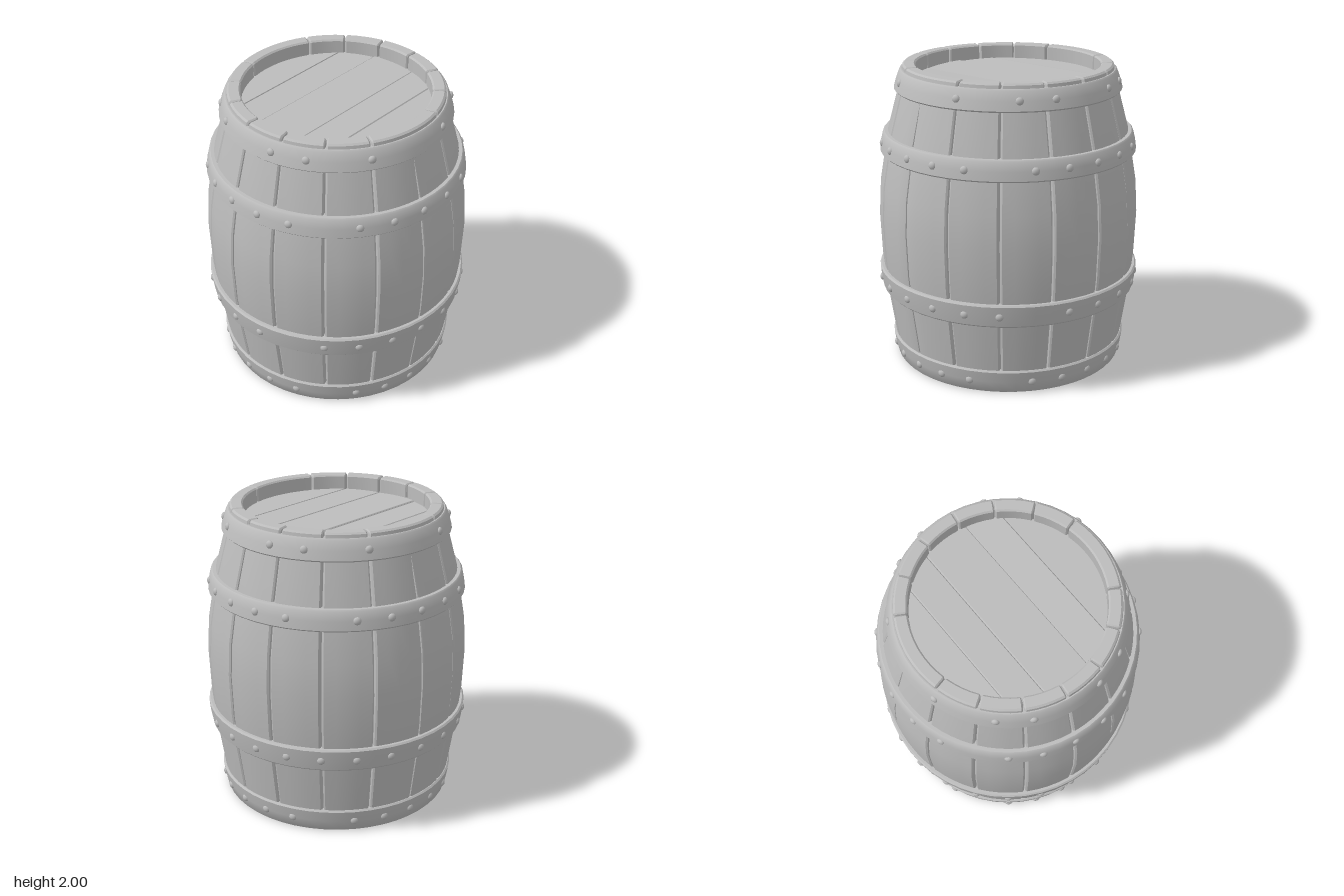
import * as THREE from 'three';
import { toCreasedNormals } from 'three/addons/utils/BufferGeometryUtils.js';
import { ParametricGeometry } from 'three/addons/geometries/ParametricGeometry.js';

const STAVES = 16;
const STEP = (Math.PI * 2) / STAVES;

// Stave section: radius, height, then the inward direction used to sink the seams
const PROFILE = [
  [0.755, 0, -1, 0], [0.778, 0.16, -1, 0], [0.826, 0.48, -1, 0], [0.852, 0.72, -1, 0],
  [0.863, 1.0, -1, 0], [0.85, 1.22, -1, 0], [0.814, 1.43, -1, 0], [0.79, 1.57, -1, 0],
  [0.718, 1.84, -1, 0], [0.692, 1.96, -1, 0], [0.687, 1.99, -1, -0.8], [0.675, 2.0, -0.8, -1],
  [0.612, 2.0, 0.8, -1], [0.602, 1.99, 1, -0.8], [0.6, 1.85, 1, 0],
];

// Columns across a stave: position in stave widths, sunken depth
const COLUMNS = [
  [-0.5, 0.035], [-0.483, 0.008], [-0.45, 0], [-0.22, 0], [0, 0],
  [0.22, 0], [0.45, 0], [0.483, 0.008], [0.5, 0.035],
];

function staveGeometry(index) {
  const shape = (u, v, target) => {
    const [offset, depth] = COLUMNS[Math.round(u * (COLUMNS.length - 1))];
    const [r, y, dr, dy] = PROFILE[Math.round(v * (PROFILE.length - 1))];
    // The seams at the middle of the front and back are shallow and close at the rim
    const seam = index + 0.5 + offset;
    const middle = Math.abs(seam / 8 - Math.round(seam / 8)) < 0.01;
    const d = depth * (middle ? (y > 1.8 ? 0 : 0.5) : 1);
    const angle = seam * STEP;
    target.set(Math.sin(angle) * (r + dr * d), y + dy * d, Math.cos(angle) * (r + dr * d));
  };
  const g = new ParametricGeometry(shape, COLUMNS.length - 1, PROFILE.length - 1);
  return toCreasedNormals(g, 0.5);
}

// Iron band with rounded edges, closed against the staves
function hoopGeometry(y0, y1, r0, r1) {
  const b = 0.01, t = 0.06;
  const points = [
    [r0 - t, y0], [r0 - b, y0], [r0, y0 + b], [(r0 + r1) / 2 + 0.003, (y0 + y1) / 2],
    [r1, y1 - b], [r1 - b, y1], [r1 - t, y1],
  ].map(([x, y]) => new THREE.Vector2(x, y));
  return toCreasedNormals(new THREE.LatheGeometry(points, 48), 0.6);
}

// Slice of a disc between two parallel cuts, lying flat
function plankGeometry(z0, z1, radius) {
  const s = new THREE.Shape();
  const a0 = Math.asin(z0 / radius), a1 = Math.asin(z1 / radius);
  s.absarc(0, 0, radius, a0, a1, false);
  s.absarc(0, 0, radius, Math.PI - a1, Math.PI - a0, false);
  s.closePath();
  const g = new THREE.ExtrudeGeometry(s, {
    depth: 0.03, curveSegments: 12, bevelThickness: 0.008, bevelSize: 0.006,
    bevelOffset: -0.006, bevelSegments: 1,
  });
  return g.rotateX(-Math.PI / 2);
}

export function createModel() {
  const grey = new THREE.MeshStandardMaterial({ color: 0xbcbcbc });
  grey.name = 'plain grey';
  const model = new THREE.Group();
  model.name = 'barrel';

  const add = (parent, geometry, name) => {
    const mesh = new THREE.Mesh(geometry, grey);
    mesh.name = name;
    parent.add(mesh);
    return mesh;
  };
  const group = (name, parent = model) => {
    const g = new THREE.Group();
    g.name = name;
    parent.add(g);
    return g;
  };

  // Staves
  const staves = group('staves');
  for (let i = 0; i < STAVES; i++) add(staves, staveGeometry(i), 'stave');

  // Flat bottom
  add(model, new THREE.CylinderGeometry(0.755, 0.752, 0.03, 48), 'bottom').position.y = 0.015;

  // Recessed lid of slightly uneven planks running at a slant
  const lid = group('lid');
  lid.position.y = 1.865;
  lid.rotation.y = 0.155;
  const cuts = [-0.619, -0.36, -0.14, 0.175, 0.39, 0.619];
  const tilts = [0.02, -0.025, 0.03, 0.03, -0.015];
  tilts.forEach((tilt, i) => {
    const mid = -(cuts[i] + cuts[i + 1]) / 2;
    const plank = add(lid, plankGeometry(cuts[i], cuts[i + 1], 0.62).translate(0, 0, -mid), 'lidPlank');
    plank.position.z = mid;
    plank.rotation.x = tilt;
  });
  add(lid, new THREE.CylinderGeometry(0.62, 0.62, 0.02, 48), 'lidBacking').position.y = 0.005;

  // Hoops and rivets; each rivet angle is in degrees from the front or back, mirrored
  const even = [0, 15, 30, 60, 75, 90];
  const hoops = [
    { name: 'bottomHoop', y: [0, 0.16], r: [0.765, 0.793], front: even, back: even },
    {
      name: 'lowerHoop', y: [0.49, 0.645], r: [0.853, 0.872],
      front: [0, 15, 30, 45, 75, 90], back: [0, 15, 30, 45, 60, 75],
    },
    { name: 'upperHoop', y: [1.43, 1.565], r: [0.846, 0.824], front: even, back: even },
    { name: 'topHoop', y: [1.835, 1.97], r: [0.745, 0.708], front: [23, 54, 72], back: [23, 54, 72] },
  ];
  const rivet = new THREE.SphereGeometry(0.026, 12, 8).scale(1, 1, 0.7);
  for (const { name, y, r, front, back } of hoops) {
    const hoop = group(name);
    add(hoop, hoopGeometry(y[0], y[1], r[0], r[1]), 'band');
    const angles = new Set();
    for (const a of front) angles.add(a).add((360 - a) % 360);
    for (const a of back) angles.add(180 - a).add(180 + a);
    const radius = (r[0] + r[1]) / 2 - 0.002;
    for (const degrees of angles) {
      const a = THREE.MathUtils.degToRad(degrees);
      const head = add(hoop, rivet, 'rivet');
      head.position.set(Math.sin(a) * radius, (y[0] + y[1]) / 2, Math.cos(a) * radius);
      head.rotation.y = a;
    }
  }
  return model;
}
